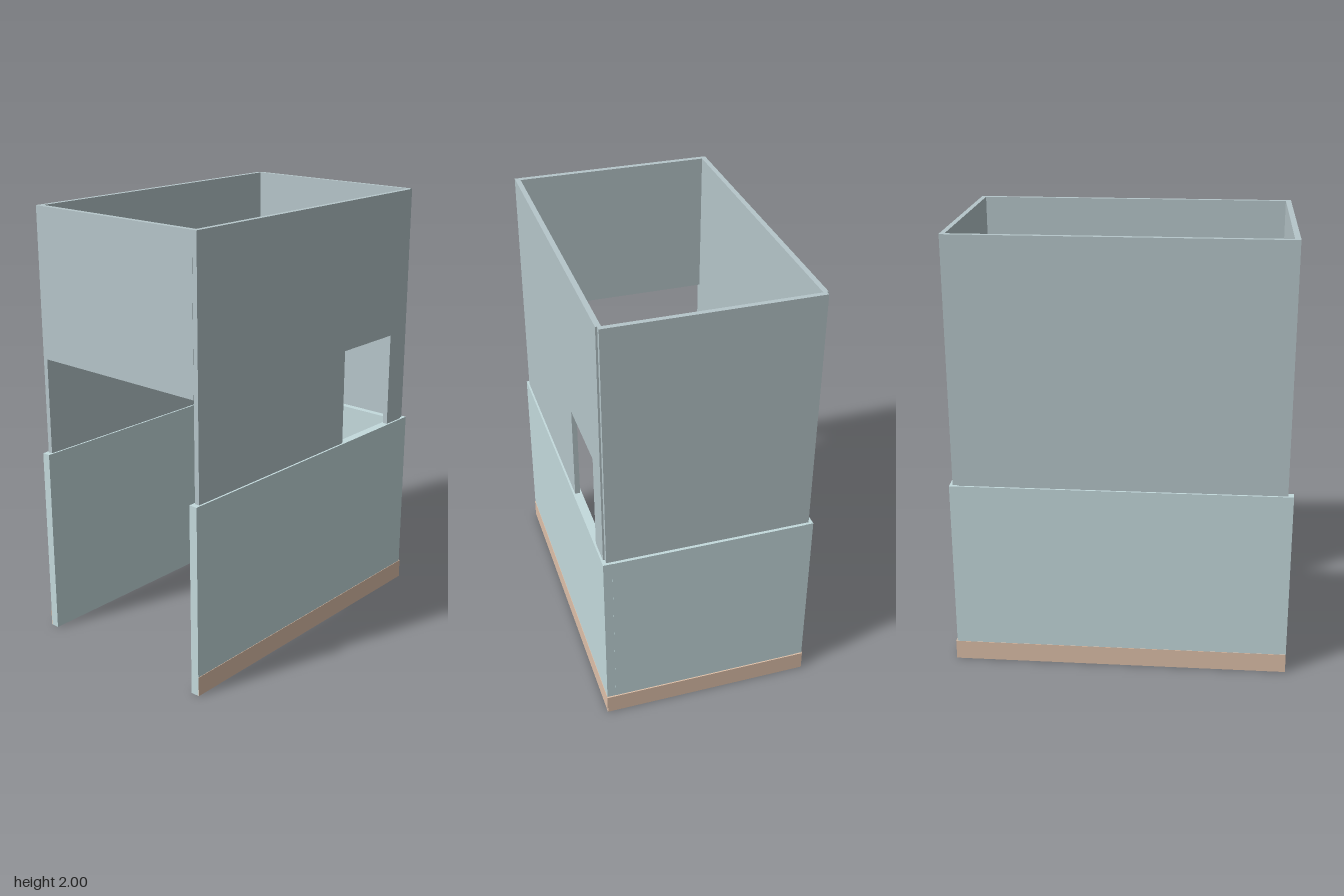
import * as THREE from 'three';

const upperMat = new THREE.MeshStandardMaterial({ color: 0xb6c6ca });
const lowerMat = new THREE.MeshStandardMaterial({ color: 0xc4dadd });
const trimMat = new THREE.MeshStandardMaterial({ color: 0xdec0a9 });

const BASE = 0.09, LEDGE = 0.875, HEAD = 1.32, TOP = 2;

// Box given by its extents on each axis
function slab(name, [x0, x1], [y0, y1], [z0, z1], material) {
  const mesh = new THREE.Mesh(new THREE.BoxGeometry(x1 - x0, y1 - y0, z1 - z0), material);
  mesh.position.set((x0 + x1) / 2, (y0 + y1) / 2, (z0 + z1) / 2);
  mesh.name = name;
  return mesh;
}

// Side wall with an opening rising from its lower edge; outline is (z, y)
function openedWall(name, [x0, x1], [z0, z1], [o0, o1]) {
  const outline = [[z0, LEDGE], [z0, TOP], [z1, TOP], [z1, LEDGE],
    [o1, LEDGE], [o1, HEAD], [o0, HEAD], [o0, LEDGE]];
  const shape = new THREE.Shape(outline.map(([z, y]) => new THREE.Vector2(-z, y)));
  const geometry = new THREE.ExtrudeGeometry(shape, { depth: x1 - x0, bevelEnabled: false });
  geometry.rotateY(Math.PI / 2);
  geometry.translate(x0, 0, 0);
  const mesh = new THREE.Mesh(geometry, upperMat);
  mesh.name = name;
  return mesh;
}

export function createModel() {
  const group = new THREE.Group();
  group.name = 'roomShell';

  // Thick lower walls, open at the front, with a coloured band outside
  for (const [side, s] of [['left', 1], ['right', -1]]) {
    const span = (a, b) => (s > 0 ? [a, b] : [-b, -a]);
    group.add(
      slab(side + 'LowerWall', span(0.437, 0.477), [BASE, LEDGE], [-0.757, 0.765], lowerMat),
      slab(side + 'Plinth', span(0.437, 0.477), [0, BASE], [-0.757, 0.765], lowerMat),
      slab(side + 'BaseBand', span(0.477, 0.479), [0, BASE], [-0.762, 0.765], trimMat),
    );
  }
  group.add(
    slab('backLowerWall', [-0.437, 0.437], [BASE, LEDGE], [-0.758, -0.69], lowerMat),
    slab('backPlinth', [-0.437, 0.437], [0, BASE], [-0.758, -0.69], lowerMat),
    slab('backBaseBand', [-0.477, 0.477], [0, BASE], [-0.764, -0.757], trimMat),
  );

  // Thinner upper walls; the left one has a window opening
  group.add(
    openedWall('leftUpperWall', [0.445, 0.468], [-0.722, 0.74], [-0.605, -0.24]),
    slab('rightUpperWall', [-0.468, -0.445], [LEDGE, TOP], [-0.722, 0.74], upperMat),
    slab('backUpperWall', [-0.46, 0.46], [LEDGE, TOP], [-0.744, -0.722], upperMat),
    slab('frontUpperWall', [-0.445, 0.445], [HEAD, TOP], [0.716, 0.741], upperMat),
  );
  return group;
}
